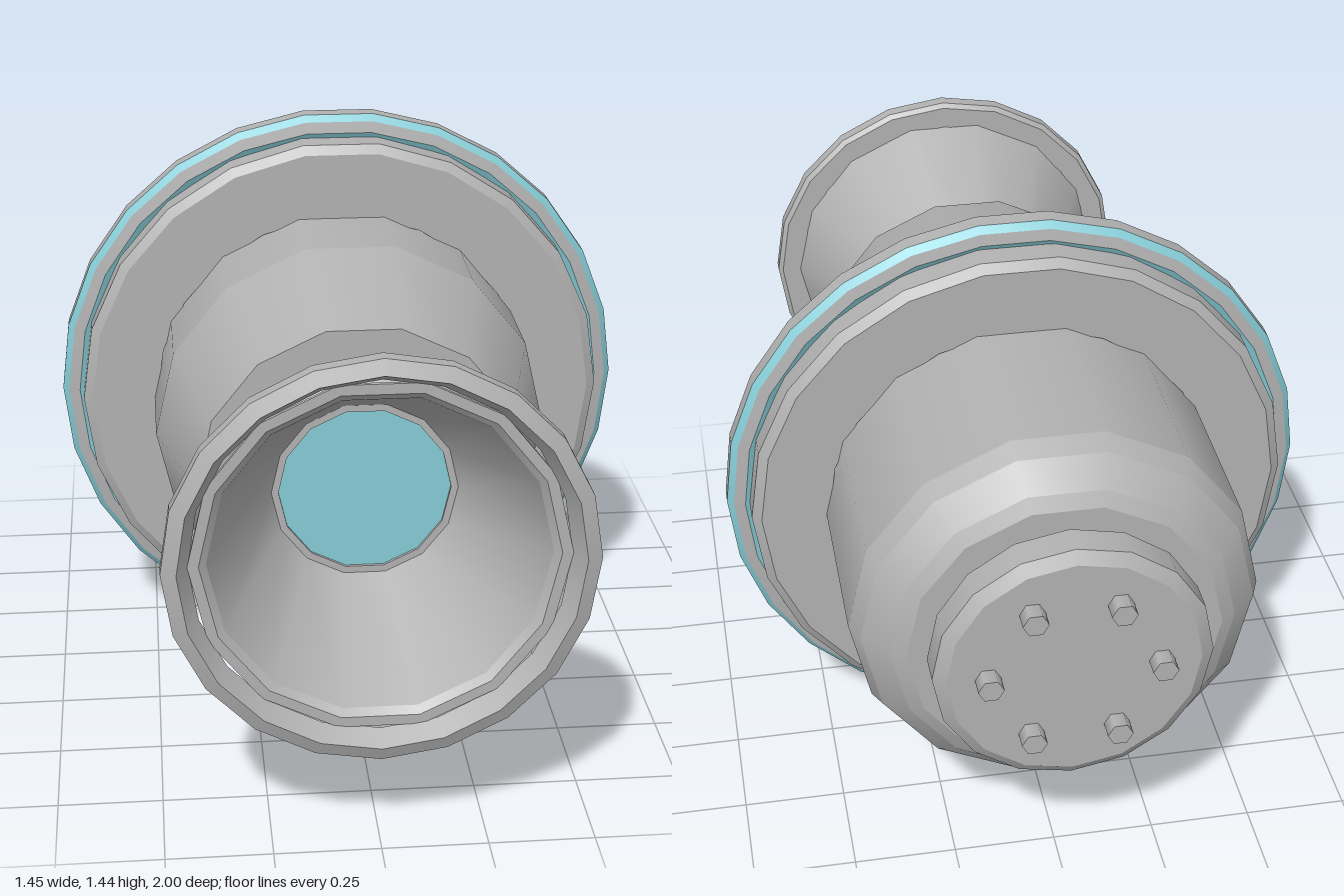
import * as THREE from 'three';
import { mergeGeometries } from 'three/addons/utils/BufferGeometryUtils.js';

const AXIS_Y = 0.722;

// Turned part around the z axis: points are [radius, z], smooth around, sharp between bands.
function turned(points, sides) {
  const bands = [];
  for (let i = 0; i + 1 < points.length; i++) {
    const pair = [points[i], points[i + 1]].map(([r, z]) => new THREE.Vector2(r, z));
    bands.push(new THREE.LatheGeometry(pair, sides, Math.PI / 2));
  }
  return mergeGeometries(bands).rotateX(Math.PI / 2);
}

export function createModel() {
  const grey = new THREE.MeshStandardMaterial({ color: 0xb2b2b2 });
  grey.name = 'grey metal';
  const cyan = new THREE.MeshStandardMaterial({ color: 0x86ccd6 });
  cyan.name = 'cyan glow';

  const model = new THREE.Group();
  model.name = 'thruster';
  const axis = new THREE.Group();
  axis.name = 'thrusterAxis';
  axis.position.y = AXIS_Y;
  model.add(axis);

  const add = (name, geometry, material) => {
    const mesh = new THREE.Mesh(geometry, material);
    mesh.name = name;
    axis.add(mesh);
    return mesh;
  };

  // Main casing: rounded at the back, tapered at the front
  add('casing', turned([
    [0, -0.845], [0.37, -0.845], [0.405, -0.825], [0.465, -0.765], [0.487, -0.715],
    [0.487, 0.2], [0.397, 0.54], [0.2, 0.54],
  ], 14), grey);

  // Wide flange around the casing
  add('flange', turned([
    [0.48, -0.272], [0.647, -0.272], [0.67, -0.255],
    [0.67, -0.05], [0.647, -0.035], [0.48, -0.035],
  ], 22), grey);

  // Outer ring with cyan strips; both halves mirrored about its middle plane
  const mid = -0.153;
  const strip = (name, points, material) => {
    add(name + 'Front', turned(points.map(([r, d]) => [r, mid + d]).reverse(), 26), material);
    add(name + 'Back', turned(points.map(([r, d]) => [r, mid - d]), 26), material);
  };
  strip('ringInnerGlow', [[0.65, 0.027], [0.681, 0.044]], cyan);
  strip('ringShoulder', [[0.681, 0.044], [0.709, 0.038]], grey);
  strip('ringOuterGlow', [[0.709, 0.038], [0.725, 0.022]], cyan);
  add('ringBand', turned([[0.725, mid - 0.022], [0.725, mid + 0.022]], 26), grey);

  // Nozzle bell, with an outer and an inner wall
  add('nozzle', turned([
    [0.31, 0.535], [0.253, 0.572], [0.43, 0.945], [0.43, 0.955],
    [0.405, 0.955], [0.388, 0.94], [0.222, 0.58], [0.205, 0.58], [0.205, 0.57],
  ], 14), grey);
  add('throatGlow', turned([[0.21, 0.572], [0, 0.572]], 14), cyan);

  // Rim at the nozzle mouth
  add('nozzleRim', turned([
    [0.42, 0.94], [0.478, 0.94], [0.49, 0.95], [0.49, 0.985],
    [0.455, 1.0], [0.428, 0.95],
  ], 20), grey);

  // Rear cap
  add('rearCap', turned([
    [0, -0.957], [0.295, -0.957], [0.325, -0.937], [0.325, -0.863], [0.305, -0.845], [0.2, -0.845],
  ], 16), grey);

  // Six bolts on the rear cap
  for (let i = 0; i < 6; i++) {
    const a = (i * Math.PI) / 3;
    const bolt = add('bolt', turned([[0, -1], [0.03, -1], [0.03, -0.95]], 6), grey);
    bolt.position.set(Math.cos(a) * 0.2, Math.sin(a) * 0.2, 0);
  }

  return model;
}
